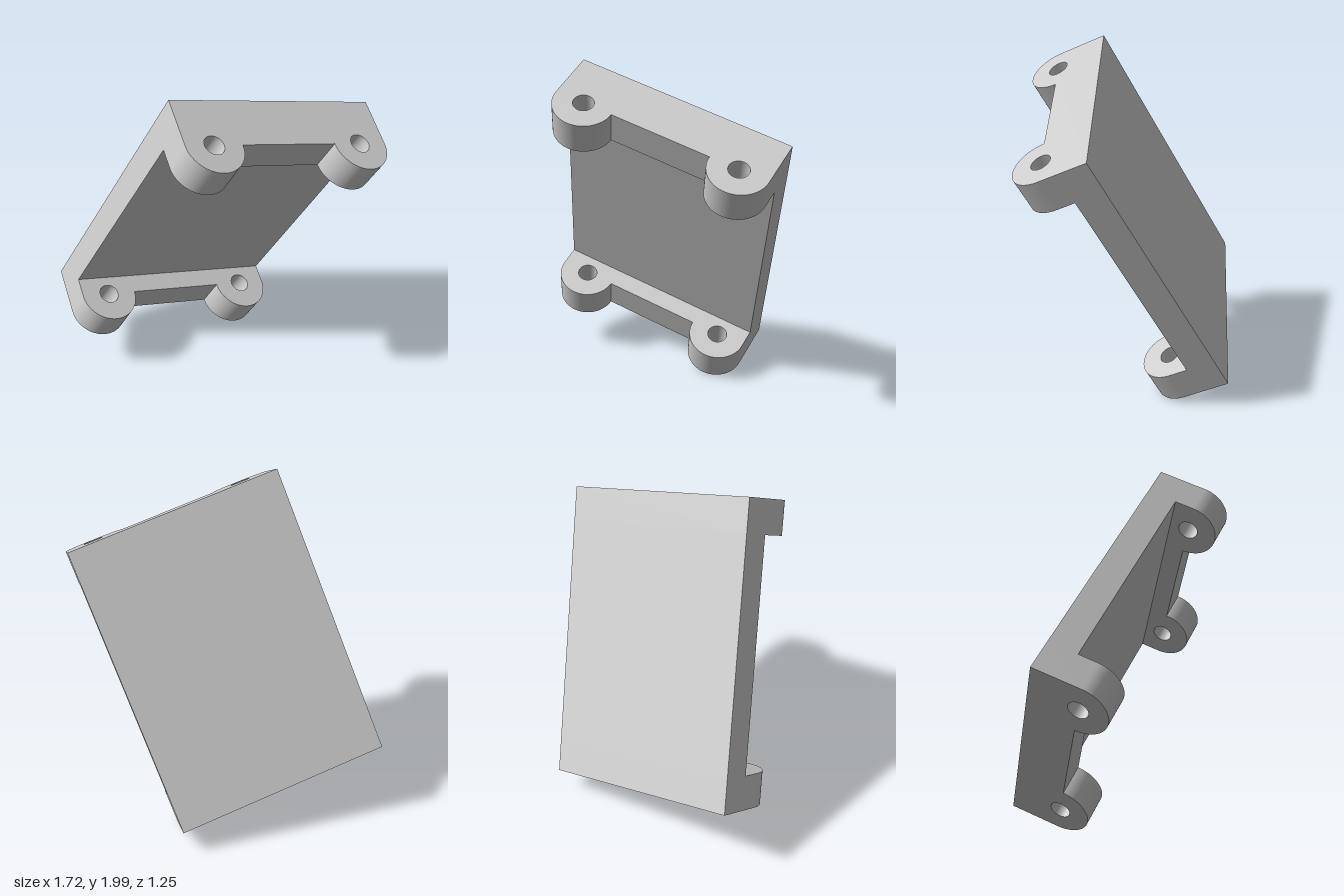
import * as THREE from 'three';

const WIDTH = 1.263, LENGTH = 1.727, PLATE = 0.172, FLANGE = 0.197;
const LUG = 0.17, REACH = 0.284, HOLE = 0.058;

// Flange outline: straight web with a round-ended, drilled lug at each end
function flangeGeometry() {
  const shape = new THREE.Shape();
  shape.moveTo(0, 0);
  shape.lineTo(WIDTH, 0);
  shape.lineTo(WIDTH, REACH);
  shape.absarc(WIDTH - LUG, REACH, LUG, 0, Math.PI, false);
  shape.lineTo(2 * LUG, REACH);
  shape.absarc(LUG, REACH, LUG, 0, Math.PI, false);
  shape.closePath();
  for (const x of [LUG, WIDTH - LUG]) {
    const hole = new THREE.Path();
    hole.absarc(x, REACH, HOLE, 0, Math.PI * 2, true);
    shape.holes.push(hole);
  }
  const geometry = new THREE.ExtrudeGeometry(shape, { depth: FLANGE, bevelEnabled: false, curveSegments: 32 });
  return geometry.rotateX(Math.PI / 2); // thickness runs down from y = 0
}

export function createModel() {
  const model = new THREE.Group();
  const bracket = new THREE.Group();
  bracket.name = 'bracket';
  model.add(bracket);
  const material = new THREE.MeshStandardMaterial({ color: 0xcccccc });
  const add = (name, geometry, x, y, z) => {
    const mesh = new THREE.Mesh(geometry, material);
    mesh.name = name;
    mesh.position.set(x, y, z);
    bracket.add(mesh);
  };

  // Back plate fills the space between the two flanges
  add('backPlate', new THREE.BoxGeometry(WIDTH, LENGTH - 2 * FLANGE, PLATE), WIDTH / 2, -LENGTH / 2, PLATE / 2);

  // Matching flanges at both ends
  const flange = flangeGeometry();
  add('upperFlange', flange, 0, 0, 0);
  add('lowerFlange', flange, 0, FLANGE - LENGTH, 0);

  // The whole bracket is turned and then tilted, hung from its top corner
  bracket.rotation.set(0, THREE.MathUtils.degToRad(57.65), -Math.PI / 6, 'ZYX');
  bracket.position.set(0, 2, 0.442);
  return model;
}
